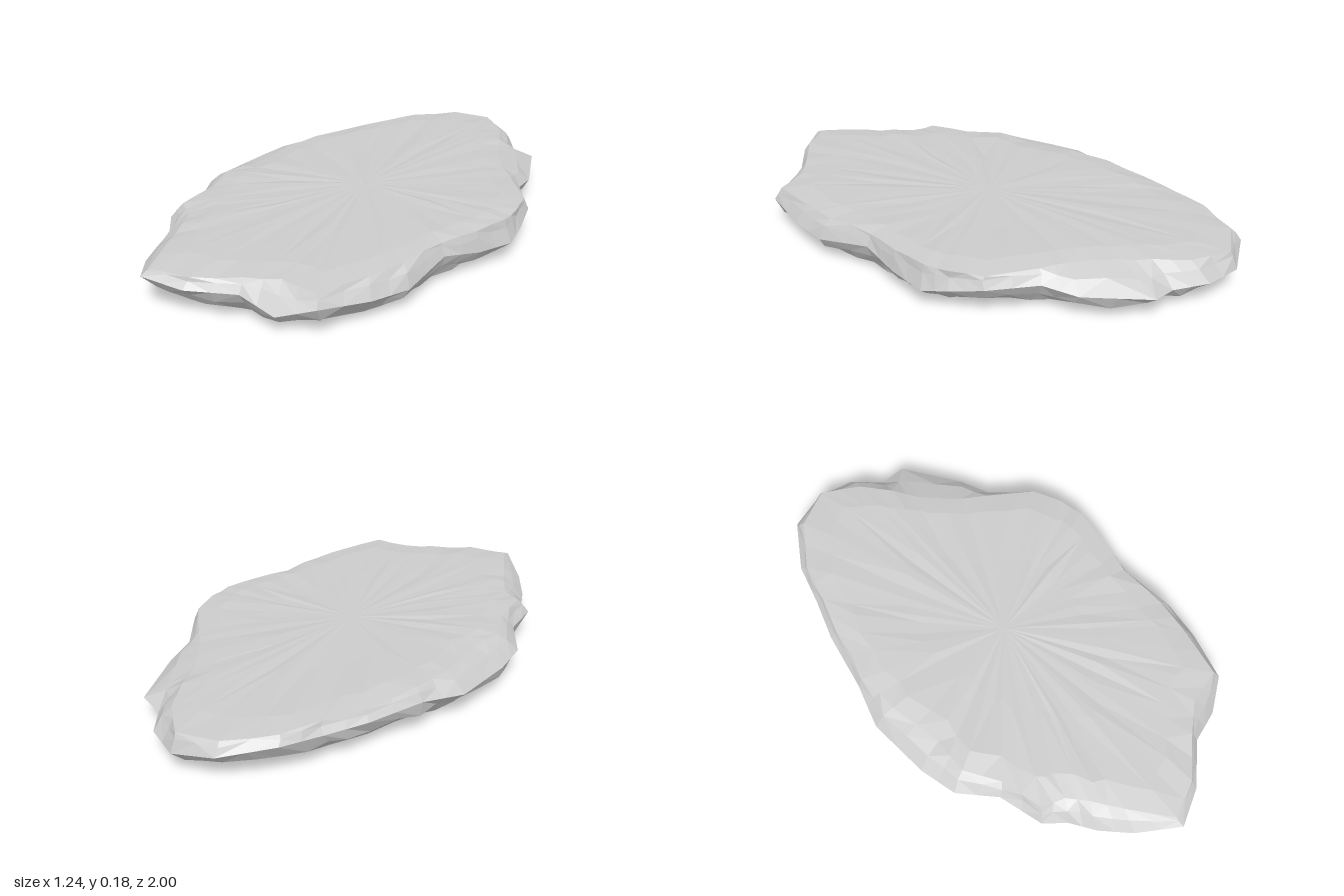
import * as THREE from 'three';

// Widest outline of the slab as x, z pairs, clockwise seen from above
const OUTLINE = [
  -0.05, -1, 0.09, -0.95, 0.18, -0.85, 0.28, -0.83, 0.4, -0.6, 0.43, -0.47, 0.56, -0.32, 0.6, -0.2,
  0.62, -0.1, 0.58, 0.05, 0.53, 0.2, 0.54, 0.42, 0.5, 0.57, 0.42, 0.75, 0.3, 0.82, 0.16, 0.84,
  0.01, 0.95, -0.14, 1, -0.27, 0.88, -0.35, 0.77, -0.4, 0.67, -0.47, 0.6, -0.5, 0.42, -0.6, 0.28,
  -0.62, 0.13, -0.61, -0.12, -0.54, -0.28, -0.47, -0.5, -0.4, -0.65, -0.34, -0.8, -0.21, -0.96,
];
// How far the top rim is set back, and the height of the widest line, per outline point
const INSET = [
  0.03, 0.08, 0.1, 0.19, 0.12, 0.04, 0.02, 0.02, 0.03, 0.02, 0.02, 0.05, 0.05, 0.03, 0.09, 0.03,
  0.03, 0.04, 0.09, 0.1, 0.08, 0.05, 0.05, 0.08, 0.12, 0.09, 0.04, 0.03, 0.03, 0.03, 0.04,
];
const WIDEST = [
  0.1, 0.1, 0.09, 0.1, 0.1, 0.12, 0.12, 0.1, 0.08, 0.09, 0.12, 0.09, 0.1, 0.12, 0.08, 0.12,
  0.13, 0.15, 0.11, 0.09, 0.09, 0.11, 0.12, 0.11, 0.11, 0.11, 0.13, 0.13, 0.13, 0.14, 0.13,
];
const TOP = 0.172;
const N = INSET.length * 2;

// Small seeded noise in the range -1..1
const noise = (i, j) => {
  const s = Math.sin((i % N) * 12.99 + j * 78.23) * 43758.5453;
  return 2 * (s - Math.floor(s)) - 1;
};

// Doubled outline: every second column is the midpoint of its neighbours
function column(i) {
  const n = INSET.length;
  const a = Math.floor((((i % N) + N) % N) / 2);
  const b = i % 2 ? (a + 1) % n : a;
  const mid = (arr, stride = 1, o = 0) => (arr[a * stride + o] + arr[b * stride + o]) / 2;
  return { x: mid(OUTLINE, 2, 0), z: mid(OUTLINE, 2, 1), inset: mid(INSET), y: mid(WIDEST) };
}

function buildRings() {
  const cols = Array.from({ length: N }, (_, i) => column(i));
  const rings = [[], [], [], [], [], [], [], [], [], []];
  cols.forEach((c, i) => {
    // Smoothed, smaller foot
    let fx = 0, fz = 0;
    for (let k = -3; k <= 3; k++) {
      const q = cols[(i + k + N) % N];
      fx += q.x / 7;
      fz += q.z / 7;
    }
    const foot = new THREE.Vector3(fx * 0.8, 0, fz * 0.82 + 0.03);
    const wide = new THREE.Vector3(c.x, c.y, c.z);
    const inward = new THREE.Vector3(-c.x, 0, -c.z * 0.75).normalize();
    const rim = wide.clone().addScaledVector(inward, c.inset).setY(TOP - 0.004 + 0.004 * noise(i, 1));
    const rough = (p, j, r, ry) =>
      p.add(new THREE.Vector3(noise(i, j) * r, noise(i, j + 20) * ry, noise(i, j + 40) * r));

    rings[0].push(new THREE.Vector3(0, 0, 0.03));
    rings[1].push(foot);
    // Chipped underside
    rings[2].push(rough(foot.clone().lerp(wide, 0.45).setY(c.y * 0.22), 2, 0.014, 0.008));
    rings[3].push(rough(foot.clone().lerp(wide, 0.8).setY(c.y * 0.6), 3, 0.014, 0.013));
    rings[4].push(wide);
    // Chipped upper edge
    const upper = wide.clone().addScaledVector(inward, c.inset * 0.4 + 0.008);
    upper.y = THREE.MathUtils.lerp(c.y, TOP, 0.6);
    rings[5].push(rough(upper, 5, 0.006, 0.007));
    rings[6].push(rim);
    // Gently uneven top face
    [0.86, 0.5].forEach((s, k) => {
      const p = new THREE.Vector3(rim.x * s, TOP + 0.006, rim.z * s);
      rings[7 + k].push(rough(p, 7 + k, 0.012, 0.003));
    });
    rings[9].push(new THREE.Vector3(0, TOP + 0.007, 0));
  });
  return rings;
}

function slabGeometry() {
  const rings = buildRings();
  const pos = [];
  const tri = (...pts) => pts.forEach((p) => pos.push(p.x, p.y, p.z));
  for (let r = 0; r < rings.length - 1; r++) {
    for (let i = 0; i < N; i++) {
      const k = (i + 1) % N;
      const a = rings[r][i], b = rings[r][k], c = rings[r + 1][k], d = rings[r + 1][i];
      if (r === 0) tri(a, d, c);
      else if (r === rings.length - 2) tri(a, d, b);
      else if (noise(i, r + 60) > 0) { tri(a, d, b); tri(b, d, c); }
      else { tri(a, d, c); tri(a, c, b); }
    }
  }
  const g = new THREE.BufferGeometry();
  g.setAttribute('position', new THREE.Float32BufferAttribute(pos, 3));
  g.computeVertexNormals();
  return g;
}

export function createModel() {
  const group = new THREE.Group();
  group.name = 'flatRock';
  const stone = new THREE.MeshStandardMaterial({ color: 0xcccccc, flatShading: true });
  const slab = new THREE.Mesh(slabGeometry(), stone);
  slab.name = 'stoneSlab';
  group.add(slab);
  return group;
}
